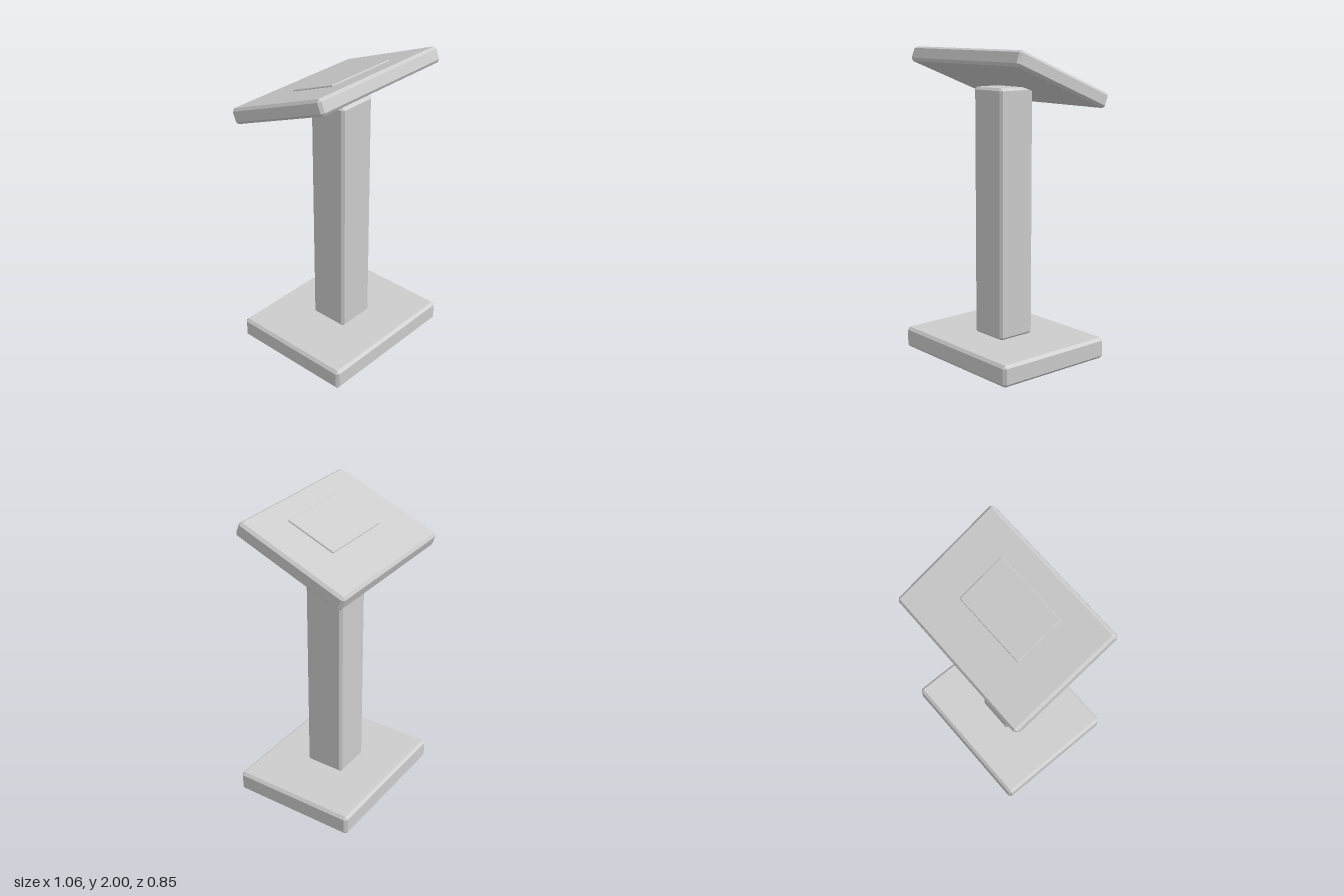
import * as THREE from 'three';
import { ConvexGeometry } from 'three/addons/geometries/ConvexGeometry.js';

// Box with flat chamfers of width c on every edge
function chamferBox(w, h, d, c) {
  const half = [w / 2, h / 2, d / 2];
  const points = [];
  for (const sx of [-1, 1]) for (const sy of [-1, 1]) for (const sz of [-1, 1]) {
    for (let axis = 0; axis < 3; axis++) {
      const [x, y, z] = half.map((v, i) => (i === axis ? v : v - c));
      points.push(new THREE.Vector3(sx * x, sy * y, sz * z));
    }
  }
  return new ConvexGeometry(points);
}

export function createModel() {
  const model = new THREE.Group();
  model.name = 'lectern';
  const grey = new THREE.MeshStandardMaterial({ color: 0xcccccc });
  grey.name = 'light grey';

  const add = (parent, name, size, chamfer, y, z = 0) => {
    const mesh = new THREE.Mesh(chamferBox(...size, chamfer), grey);
    mesh.name = name;
    mesh.position.set(0, y, z);
    parent.add(mesh);
  };

  // Foot and column
  add(model, 'base', [1.02, 0.138, 0.85], 0.018, 0.069);
  add(model, 'post', [0.27, 1.618, 0.27], 0.017, 0.944);

  // Sloping top, high at the front, with a thin raised panel
  const top = new THREE.Group();
  top.name = 'slopedTop';
  top.position.set(0, 1.815, -0.034);
  top.rotation.x = -0.375;
  add(top, 'desk', [1.06, 0.1, 0.78], 0.017, 0);
  add(top, 'panel', [0.51, 0.02, 0.34], 0.004, 0.049, 0.06);
  model.add(top);

  return model;
}
